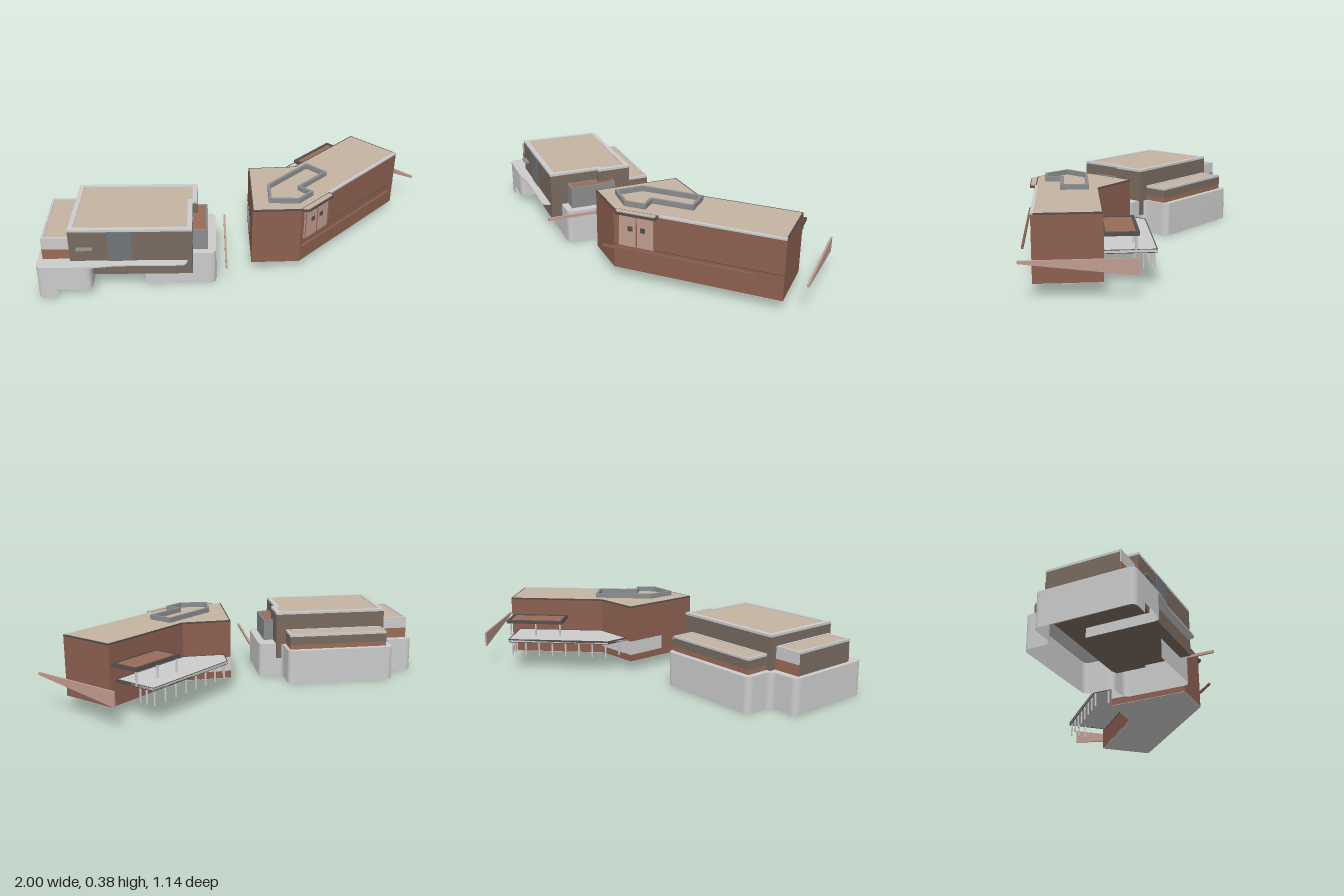
import * as THREE from 'three';

const mat = (c) => new THREE.MeshStandardMaterial({ color: c, side: THREE.DoubleSide });
const M = {
  brick: mat(0x8c5f50), dark: mat(0x786a5f), rust: mat(0x9a6b57), roof: mat(0xc4b3a2),
  pink: mat(0xc09c91), grey: mat(0xcccccc), mid: mat(0x8a8c8e), frame: mat(0x55504c), glass: mat(0x6f767a),
};

function add(parent, name, geometry, material) {
  const mesh = new THREE.Mesh(geometry, material);
  mesh.name = name;
  parent.add(mesh);
  return mesh;
}

// Box given by its limits on each axis
function box(parent, name, m, x0, x1, y0, y1, z0, z1) {
  const g = new THREE.BoxGeometry(x1 - x0, y1 - y0, z1 - z0);
  g.translate((x0 + x1) / 2, (y0 + y1) / 2, (z0 + z1) / 2);
  return add(parent, name, g, m);
}

// Upright prism from a plan of [x, z] points, with an optional hole
function prism(parent, name, m, plan, y0, y1, hole) {
  const v = (pts) => pts.map(([x, z]) => new THREE.Vector2(x, -z));
  const s = new THREE.Shape(v(plan));
  if (hole) s.holes.push(new THREE.Path(v(hole)));
  const g = new THREE.ExtrudeGeometry(s, { depth: y1 - y0, bevelEnabled: false });
  g.rotateX(-Math.PI / 2).translate(0, y0, 0);
  return add(parent, name, g, m);
}

const rect = (x0, x1, z0, z1) => [[x0, z0], [x1, z0], [x1, z1], [x0, z1]];

// Plan moved inwards by distance d
function inset(plan, d) {
  const n = plan.length;
  const area = plan.reduce((a, p, i) => {
    const q = plan[(i + 1) % n];
    return a + p[0] * q[1] - q[0] * p[1];
  }, 0);
  const sgn = Math.sign(area);
  return plan.map((p, i) => {
    const a = plan[(i + n - 1) % n], b = plan[(i + 1) % n];
    const normal = (s, e) => {
      const l = Math.hypot(e[0] - s[0], e[1] - s[1]);
      return [-sgn * (e[1] - s[1]) / l, sgn * (e[0] - s[0]) / l];
    };
    const n1 = normal(a, p), n2 = normal(p, b);
    const k = d / (1 + n1[0] * n2[0] + n1[1] * n2[1]);
    return [p[0] + k * (n1[0] + n2[0]), p[1] + k * (n1[1] + n2[1])];
  });
}

// Open path through the points, with its inner corners rounded by r
function roundedPath(pts, r) {
  const v = pts.map(([x, z]) => new THREE.Vector2(x, z));
  const path = new THREE.Path().moveTo(v[0].x, v[0].y);
  for (let i = 1; i < v.length - 1; i++) {
    const toward = (q) => q.clone().sub(v[i]).setLength(r).add(v[i]);
    const a = toward(v[i - 1]), b = toward(v[i + 1]);
    path.lineTo(a.x, a.y).quadraticCurveTo(v[i].x, v[i].y, b.x, b.y);
  }
  const end = v[v.length - 1];
  return path.lineTo(end.x, end.y).getPoints(6);
}

// Thin upright wall following a rounded path
function curtain(parent, name, m, pts, y0, y1) {
  const line = roundedPath(pts, 0.035);
  const pos = [], index = [];
  line.forEach((p, i) => {
    pos.push(p.x, y0, p.y, p.x, y1, p.y);
    if (i) index.push(2 * i - 2, 2 * i - 1, 2 * i, 2 * i, 2 * i - 1, 2 * i + 1);
  });
  const g = new THREE.BufferGeometry();
  g.setAttribute('position', new THREE.Float32BufferAttribute(pos, 3));
  g.setIndex(index);
  g.computeVertexNormals();
  return add(parent, name, g, m);
}

// Walls with a tan roof set inside a raised parapet
function block(parent, name, plan, y0, y1, rim) {
  prism(parent, name + 'Walls', M.dark, plan, y0, y1 - 0.012);
  prism(parent, name + 'Parapet', M.grey, plan, y1 - 0.012, y1, inset(plan, rim));
  prism(parent, name + 'Roof', M.roof, inset(plan, rim), y1 - 0.012, y1 - 0.004);
}

function mainBuilding() {
  const g = new THREE.Group();
  g.name = 'mainBuilding';
  const plan = [[-0.125, 0.35], [0.05, 0.516], [0.88, 0.516], [0.88, 0.21], [0.365, 0.21], [0.18, 0.045]];
  prism(g, 'mainWalls', M.brick, plan, 0.052, 0.352);
  prism(g, 'underside', M.grey, plan, 0.05, 0.052);
  prism(g, 'roofEdge', M.frame, plan, 0.352, 0.36, inset(plan, 0.006));
  prism(g, 'mainRoof', M.roof, inset(plan, 0.006), 0.352, 0.36);
  box(g, 'frontRoofLedge', M.grey, 0.28, 0.88, 0.352, 0.361, 0.503, 0.518);
  box(g, 'floorSeam', M.frame, 0.056, 0.88, 0.178, 0.181, 0.515, 0.5175);

  // Skylight kerb on the roof
  const kerb = [[-0.016, 0.36], [0.09, 0.258], [0.405, 0.258], [0.405, 0.395], [0.195, 0.395], [0.195, 0.473], [0.085, 0.473]];
  prism(g, 'roofKerb', M.mid, kerb, 0.36, 0.385, inset(kerb, 0.014));

  // Front bay with two small windows and a canopy
  box(g, 'frontBay', M.pink, 0.075, 0.262, 0.18, 0.345, 0.513, 0.524);
  for (const x of [0.138, 0.203]) box(g, 'bayWindow', M.frame, x - 0.013, x + 0.013, 0.26, 0.286, 0.52, 0.525);
  for (const x of [0.078, 0.17, 0.26]) box(g, 'bayMullion', M.rust, x - 0.003, x + 0.003, 0.18, 0.345, 0.52, 0.526);
  const canopy = [[0.05, 0.51], [0.075, 0.545], [0.27, 0.545], [0.275, 0.51]];
  prism(g, 'bayCanopyEdge', M.frame, canopy, 0.345, 0.357);
  prism(g, 'bayCanopyTop', M.roof, inset(canopy, 0.005), 0.357, 0.361);

  // Light lower wall panels on the angled back corner
  const panel = [[0.025, 0.2], [0.18, 0.042], [0.365, 0.207], [0.36, 0.214], [0.18, 0.055], [0.03, 0.207]];
  prism(g, 'lowerPanels', M.grey, panel, 0.09, 0.165);

  // Back deck on thin posts
  const deck = [[0.21, 0.065], [0.295, -0.025], [0.84, -0.025], [0.84, 0.21], [0.365, 0.21]];
  prism(g, 'deck', M.grey, deck, 0.168, 0.18);
  prism(g, 'deckEdge', M.frame, deck, 0.165, 0.182, inset(deck, 0.004));
  const post = (name, x, z, y0, y1) =>
    add(g, name, new THREE.CylinderGeometry(0.005, 0.005, y1 - y0, 8).translate(x, (y0 + y1) / 2, z), M.grey);
  for (let i = 0; i < 8; i++) post('deckPost', 0.31 + i * 0.073, -0.012, 0.09, 0.168);
  for (const z of [0.035, 0.075]) post('deckPost', 0.822, z, 0.09, 0.168);
  post('deckPost', 0.245, 0.045, 0.09, 0.168);

  // Terrace shelter above the deck
  const shelter = rect(0.56, 0.868, 0.055, 0.215);
  prism(g, 'shelterSlab', M.rust, inset(shelter, 0.012), 0.25, 0.262);
  prism(g, 'shelterFrame', M.frame, shelter, 0.25, 0.267, inset(shelter, 0.014));
  for (const x of [0.575, 0.71, 0.85]) post('shelterPost', x, 0.07, 0.18, 0.25);
  return g;
}

// Built on plain axes, then turned by 45 degrees
function rearBuilding() {
  const g = new THREE.Group();
  g.name = 'rearBuilding';
  g.rotation.y = -Math.PI / 4;

  // Open retaining walls, stepped down at the back and entrance
  const back = [
    [-0.79, 0.546], [-0.884, 0.546], [-0.884, 0.057], [-0.726, 0.057], [-0.726, -0.095],
    [-0.15, -0.095], [-0.15, 0.07], [-0.02, 0.07], [-0.02, 0.435], [-0.37, 0.435],
  ];
  curtain(g, 'retainingWall', M.grey, back, 0, 0.18);
  curtain(g, 'sideRetainingWall', M.grey, [[-0.79, 0.546], [-0.62, 0.546], [-0.62, 0.17]], 0.05, 0.18);

  // Thin terrace slab with rounded corners
  const slab = [
    [-0.5, 0.53], [-0.62, 0.546], ...back.slice(1, 9), [-0.16, 0.435], [-0.16, 0.53], [-0.5, 0.53],
  ];
  prism(g, 'terraceSlab', M.grey, roundedPath(slab, 0.035).slice(1).map((p) => [p.x, p.y]), 0.174, 0.18);

  // Tall hall
  const hall = [[-0.712, 0.06], [-0.113, 0.06], [-0.113, 0.235], [-0.135, 0.235], [-0.135, 0.49], [-0.725, 0.49], [-0.725, 0.06]];
  block(g, 'hall', [...hall.slice(1, 6), [-0.717, 0.06]], 0.1, 0.355, 0.024);
  box(g, 'hallWindow', M.glass, -0.54, -0.425, 0.18, 0.343, 0.485, 0.493);
  box(g, 'sideCanopy', M.mid, -0.69, -0.61, 0.253, 0.258, 0.485, 0.515);

  // Low wing along the back right
  const wing = rect(-0.695, -0.165, -0.065, 0.06);
  prism(g, 'wingBase', M.rust, wing, 0.18, 0.205);
  block(g, 'wing', wing, 0.205, 0.26, 0.01);

  // Wing along the back left, with light upper ends
  block(g, 'backWing', rect(-0.86, -0.72, 0.098, 0.468), 0.18, 0.297, 0.012);
  for (const z of [0.098, 0.468]) {
    box(g, 'backWingEnd', M.grey, -0.86, -0.72, 0.235, 0.297, z - 0.003, z + 0.003);
    box(g, 'backWingEndBase', M.rust, -0.86, -0.72, 0.18, 0.235, z - 0.003, z + 0.003);
  }

  // Entrance porch with an open roof terrace
  const porch = rect(-0.14, -0.06, 0.16, 0.4);
  prism(g, 'porchWalls', M.mid, porch, 0.18, 0.283);
  prism(g, 'porchParapet', M.mid, porch, 0.283, 0.293, inset(porch, 0.008));
  prism(g, 'porchRoof', M.rust, inset(porch, 0.008), 0.283, 0.286);
  return g;
}

export function createModel() {
  const model = new THREE.Group();
  model.name = 'buildingComplex';
  model.add(mainBuilding(), rearBuilding());

  // Free-standing screens around the site
  box(model, 'frontScreen', M.brick, 0.01, 0.765, 0.175, 0.186, 0.555, 0.565);
  const fin = new THREE.Shape([[-0.57, 0.178], [-0.065, 0.115], [-0.065, 0.19], [-0.57, 0.19]]
    .map(([x, y]) => new THREE.Vector2(x, y)));
  const finGeo = new THREE.ExtrudeGeometry(fin, { depth: 0.01, bevelEnabled: false });
  finGeo.rotateY(Math.PI / 2).translate(0.99, 0, 0);
  add(model, 'sideScreen', finGeo, M.pink);
  const rail = box(model, 'angledScreen', M.pink, -0.23, 0.23, 0.172, 0.186, -0.005, 0.005);
  rail.position.set(-0.21, 0, 0.248);
  rail.rotation.y = Math.PI / 4;
  return model;
}
